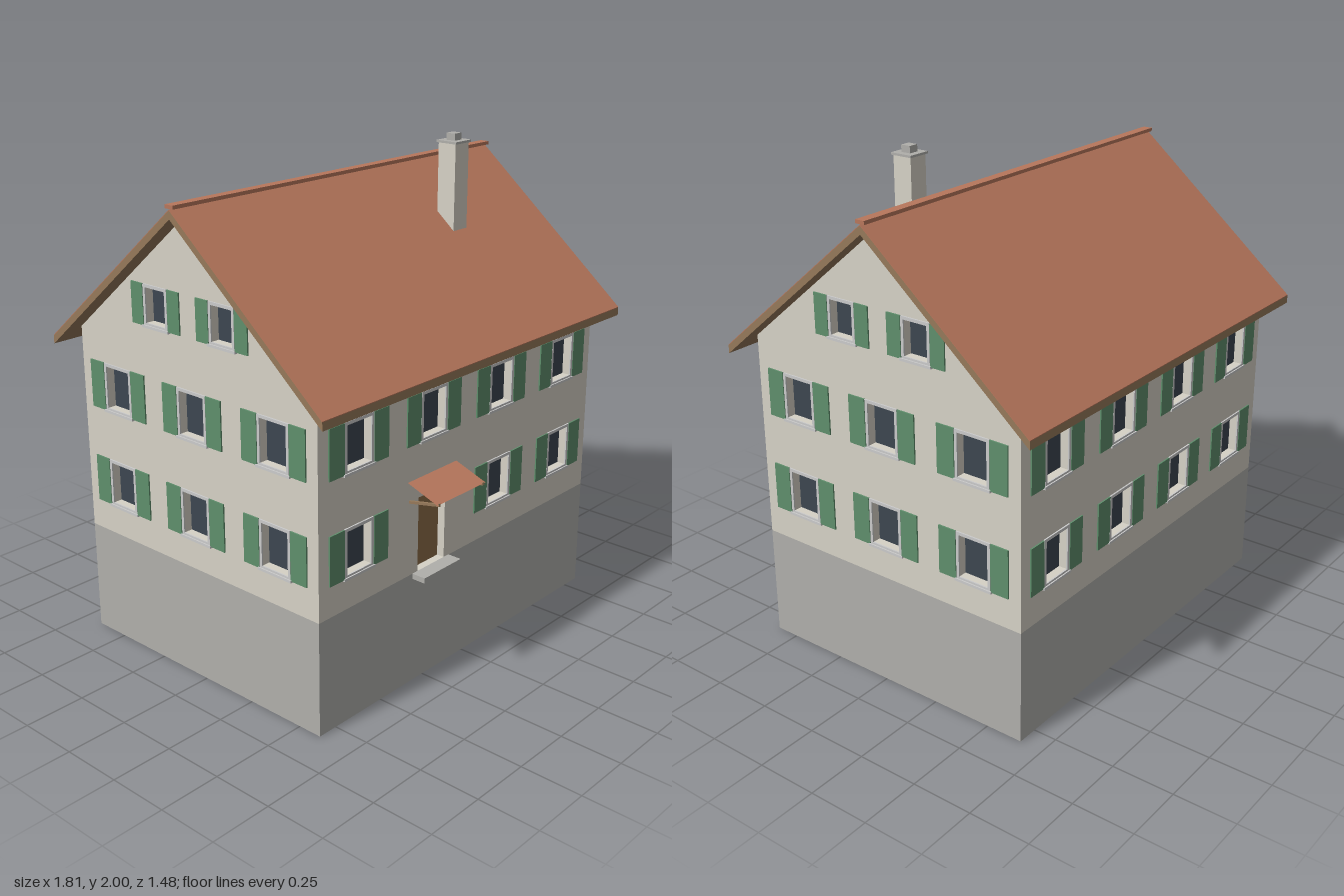
import * as THREE from 'three';

const mat = (color) => new THREE.MeshStandardMaterial({ color, side: THREE.DoubleSide });
const M = {
  plaster: mat(0xd6d2c6), stone: mat(0xb0afab), frame: mat(0xc4c4c0), glass: mat(0x3d4650),
  shutter: mat(0x5f8f6c), door: mat(0x8c6c48), tile: mat(0xb8775c), wood: mat(0x96795a),
};
const HX = 0.835, HZ = 0.627, CZ = -0.027;      // half sizes of the house, centre in z
const BASE = 0.46, RIDGE = 1.86, SLOPE = 0.836; // plinth top, roof ridge, roof pitch
const RX = 0.905, RZ = 0.715, SLAB = 0.035;     // roof half sizes and thickness
const DEEP = 0.04;                              // recess of windows and door

function add(parent, name, geometry, material, x = 0, y = 0, z = 0) {
  const mesh = new THREE.Mesh(geometry, material);
  mesh.name = name;
  mesh.position.set(x, y, z);
  parent.add(mesh);
  return mesh;
}
const box = (w, h, d) => new THREE.BoxGeometry(w, h, d);
const poly = (points) => new THREE.Shape(points.map(([x, y]) => new THREE.Vector2(x, y)));
const rect = (x, y, w, h) => [[x - w / 2, y - h / 2], [x + w / 2, y - h / 2], [x + w / 2, y + h / 2], [x - w / 2, y + h / 2]];

// Rectangular ring around an opening of w by h
function ring(w, h, t, depth) {
  const shape = poly(rect(0, 0, w + 2 * t, h + 2 * t));
  shape.holes.push(poly(rect(0, 0, w, h)));
  return new THREE.ExtrudeGeometry(shape, { depth, bevelEnabled: false });
}

// Recessed window with surround, sill and a pair of open shutters
function addWindow(side, { x, y, w, h }) {
  const g = new THREE.Group();
  g.name = 'window';
  g.position.set(x, y, 0);
  add(g, 'reveal', ring(w, h, 0.002, DEEP), M.plaster, 0, 0, -DEEP);
  add(g, 'surround', ring(w, h, 0.012, 0.006), M.frame);
  add(g, 'glass', box(w, h, 0.008), M.glass, 0, 0, -DEEP + 0.004);
  add(g, 'sill', box(w + 0.036, 0.01, 0.014), M.frame, 0, -h / 2 - 0.013, 0.004);
  const sw = w * 0.6;
  for (const s of [-1, 1])
    add(g, 'shutter', box(sw, h + 0.024, 0.006), M.shutter, s * (w / 2 + 0.014 + sw / 2), 0, 0.004);
  side.add(g);
}

// One side of the house: plinth, wall with openings, and its windows
function addSide(house, name, half, dist, turn, outline, windows, doors = []) {
  const side = new THREE.Group();
  side.name = name;
  side.rotation.y = turn;
  side.position.set(Math.sin(turn) * dist, 0, CZ + Math.cos(turn) * dist);
  add(side, 'plinth', new THREE.PlaneGeometry(2 * half, BASE), M.stone, 0, BASE / 2);
  const wall = poly(outline);
  for (const o of [...windows, ...doors]) wall.holes.push(poly(rect(o.x, o.y, o.w, o.h)));
  add(side, 'wall', new THREE.ShapeGeometry(wall), M.plaster);
  windows.forEach((w) => addWindow(side, w));
  for (const d of doors) {
    add(side, 'doorReveal', ring(d.w, d.h, 0.002, DEEP), M.plaster, d.x, d.y, -DEEP);
    add(side, 'door', box(d.w, d.h, 0.008), M.door, d.x, d.y, -DEEP + 0.004);
  }
  house.add(side);
  return side;
}

export function createModel() {
  const house = new THREE.Group();
  house.name = 'house';

  // Walls
  const under = (z) => RIDGE - SLAB - SLOPE * z;
  const eave = under(HZ);
  const long = [[-HX, BASE], [HX, BASE], [HX, eave], [-HX, eave]];
  const gable = [[-HZ, BASE], [HZ, BASE], [HZ, eave], [0, under(0)], [-HZ, eave]];
  const floors = [0.682, 1.083];
  const grid = (xs) => floors.flatMap((y) => xs.map((x) => ({ x, y, w: 0.13, h: 0.17 })));
  const longWindows = grid([-0.627, -0.209, 0.209, 0.627]);
  const gableWindows = [...grid([-0.418, 0, 0.418]),
    ...[-0.175, 0.175].map((x) => ({ x, y: 1.462, w: 0.106, h: 0.136 }))];
  const door = { x: -0.209, y: 0.6125, w: 0.16, h: 0.304 };
  const front = addSide(house, 'frontSide', HX, HZ, 0, long, longWindows.filter((w, i) => i !== 1), [door]);
  addSide(house, 'backSide', HX, HZ, Math.PI, long, longWindows);
  addSide(house, 'leftSide', HZ, HX, Math.PI / 2, gable, gableWindows);
  addSide(house, 'rightSide', HZ, HX, -Math.PI / 2, gable, gableWindows);

  // Doorstep and sloping canopy on two brackets
  add(front, 'doorstep', box(0.22, 0.022, 0.06), M.stone, door.x, 0.45, 0.03);
  const canopy = add(front, 'canopy', new THREE.PlaneGeometry(0.29, Math.hypot(0.14, 0.05)), M.tile, door.x, 0.819, 0.07);
  canopy.rotation.x = -Math.atan2(0.14, 0.05);
  for (const s of [-1, 1]) {
    const bracket = add(front, 'canopyBracket', box(0.01, 0.01, 0.143), M.wood, door.x + s * 0.132, 0.778, 0.07);
    bracket.rotation.x = -Math.atan2(0.028, 0.14);
  }

  // Roof: wooden slab with a thin tile layer, both extruded along the ridge
  const chevron = (top, thick) => {
    const low = top - SLOPE * RZ;
    const shape = poly([[-RZ, low], [-RZ, low - thick], [0, top - thick], [RZ, low - thick], [RZ, low], [0, top]]);
    return new THREE.ExtrudeGeometry(shape, { depth: 2 * RX, bevelEnabled: false })
      .translate(0, 0, -RX).rotateY(-Math.PI / 2);
  };
  add(house, 'roofSlab', chevron(RIDGE - 0.003, SLAB - 0.003), M.wood, 0, 0, CZ);
  add(house, 'roofTiles', chevron(RIDGE, 0.003), M.tile, 0, 0, CZ);
  add(house, 'ridgeCap', box(2 * RX, 0.014, 0.04), M.tile, 0, 1.869, CZ);

  // Chimney
  const chimney = new THREE.Group();
  chimney.name = 'chimney';
  chimney.position.set(0.365, 0, 0.22);
  add(chimney, 'stack', box(0.084, 0.36, 0.084), M.plaster, 0, 1.785);
  add(chimney, 'cap', box(0.097, 0.009, 0.097), M.stone, 0, 1.968);
  add(chimney, 'flue', box(0.042, 0.03, 0.042), M.stone, 0, 1.985);
  house.add(chimney);

  return house;
}
